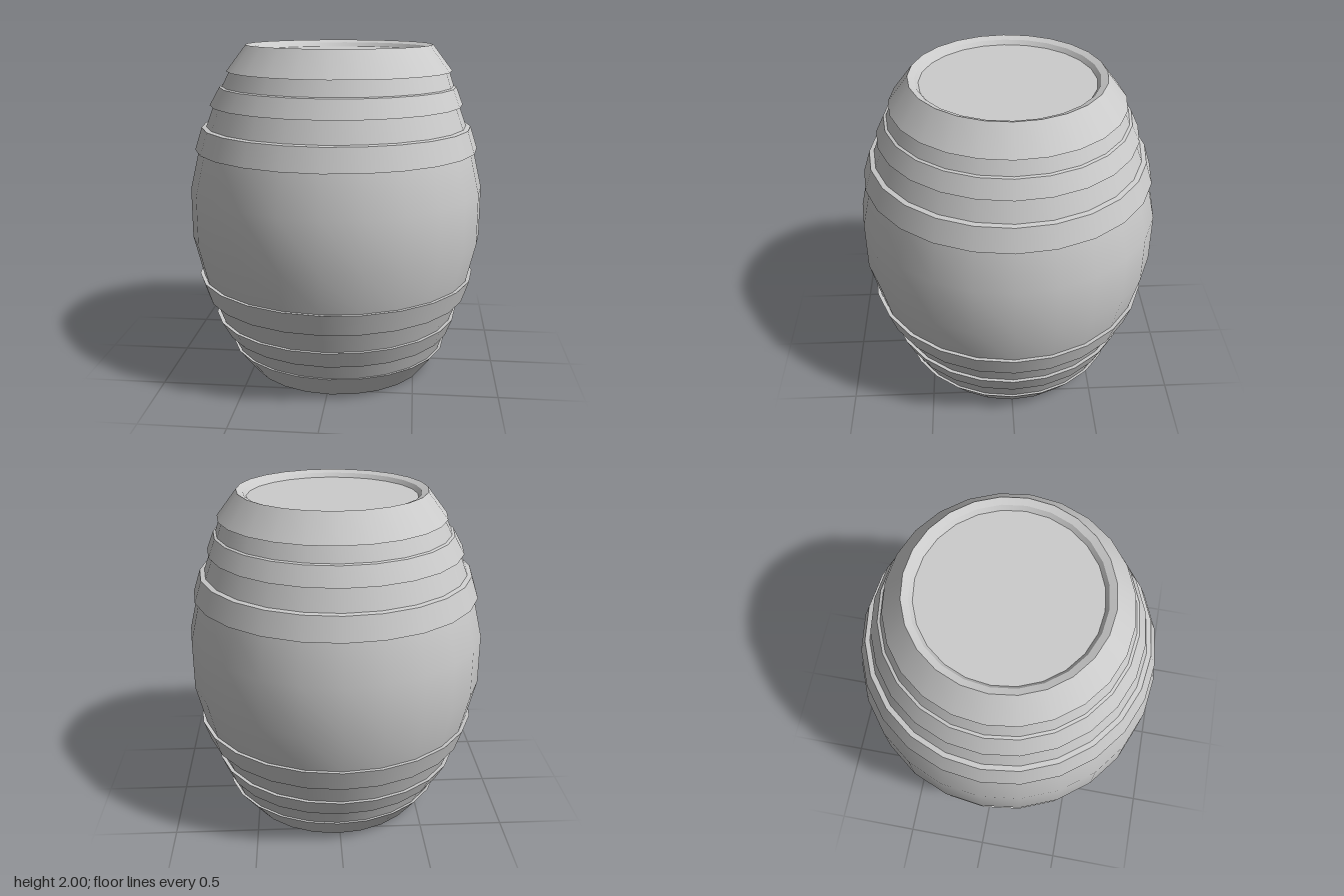
import * as THREE from 'three';

const SIDES = 24;
const material = new THREE.MeshStandardMaterial({ color: 0xcccccc, side: THREE.DoubleSide });

// The ends of the barrel sit slightly towards +x of the belly.
function endShift(y) {
  return 0.018 * THREE.MathUtils.clamp((Math.abs(y - 1) - 0.65) / 0.2, 0, 1);
}

// One smooth band of revolution; profile is [radius, y] from bottom to top.
function band(name, profile) {
  const geometry = new THREE.LatheGeometry(profile.map(([r, y]) => new THREE.Vector2(r, y)), SIDES);
  const pos = geometry.attributes.position;
  for (let i = 0; i < pos.count; i++) pos.setX(i, pos.getX(i) + endShift(pos.getY(i)));
  const mesh = new THREE.Mesh(geometry, material);
  mesh.name = name;
  return mesh;
}

export function createModel() {
  const barrel = new THREE.Group();
  barrel.name = 'barrel';

  // Bulging middle of the staves
  barrel.add(band('belly', [[0.83, 0.61], [0.887, 0.85], [0.887, 1.15], [0.83, 1.39]]));

  // Upper half, bottom to top; the lower half repeats it upside down
  const half = [
    ['wideHoopLedge', [[0.853, 1.388], [0.83, 1.39]]],
    ['wideHoop', [[0.853, 1.388], [0.81, 1.52]]],
    ['wideHoopEdge', [[0.81, 1.52], [0.782, 1.525]]],
    ['upperStaves', [[0.782, 1.525], [0.735, 1.652]]],
    ['middleHoopLedge', [[0.758, 1.65], [0.735, 1.652]]],
    ['middleHoop', [[0.758, 1.65], [0.708, 1.755]]],
    ['middleHoopEdge', [[0.708, 1.755], [0.692, 1.76]]],
    ['endStaves', [[0.692, 1.76], [0.653, 1.852]]],
    ['endHoopLedge', [[0.673, 1.848], [0.653, 1.852]]],
    ['endHoop', [[0.673, 1.848], [0.556, 2]]],
  ];
  for (const [name, profile] of half) {
    // ledges face downwards in the upper half, so their profile runs outwards
    const up = name.endsWith('Ledge') ? [...profile].reverse() : profile;
    barrel.add(band(name + 'Top', up));
    barrel.add(band(name + 'Bottom', up.map(([r, y]) => [r, 2 - y]).reverse()));
  }

  // Top rim, its inner wall and the sunken lid; the bottom stays open
  barrel.add(band('rim', [[0.556, 2], [0.517, 1.985]]));
  barrel.add(band('rimInnerWall', [[0.517, 1.985], [0.498, 1.96]]));
  const lid = new THREE.Mesh(new THREE.CircleGeometry(0.498, SIDES), material);
  lid.name = 'lid';
  lid.rotation.x = -Math.PI / 2;
  lid.position.set(endShift(1.96), 1.96, 0);
  barrel.add(lid);

  return barrel;
}
